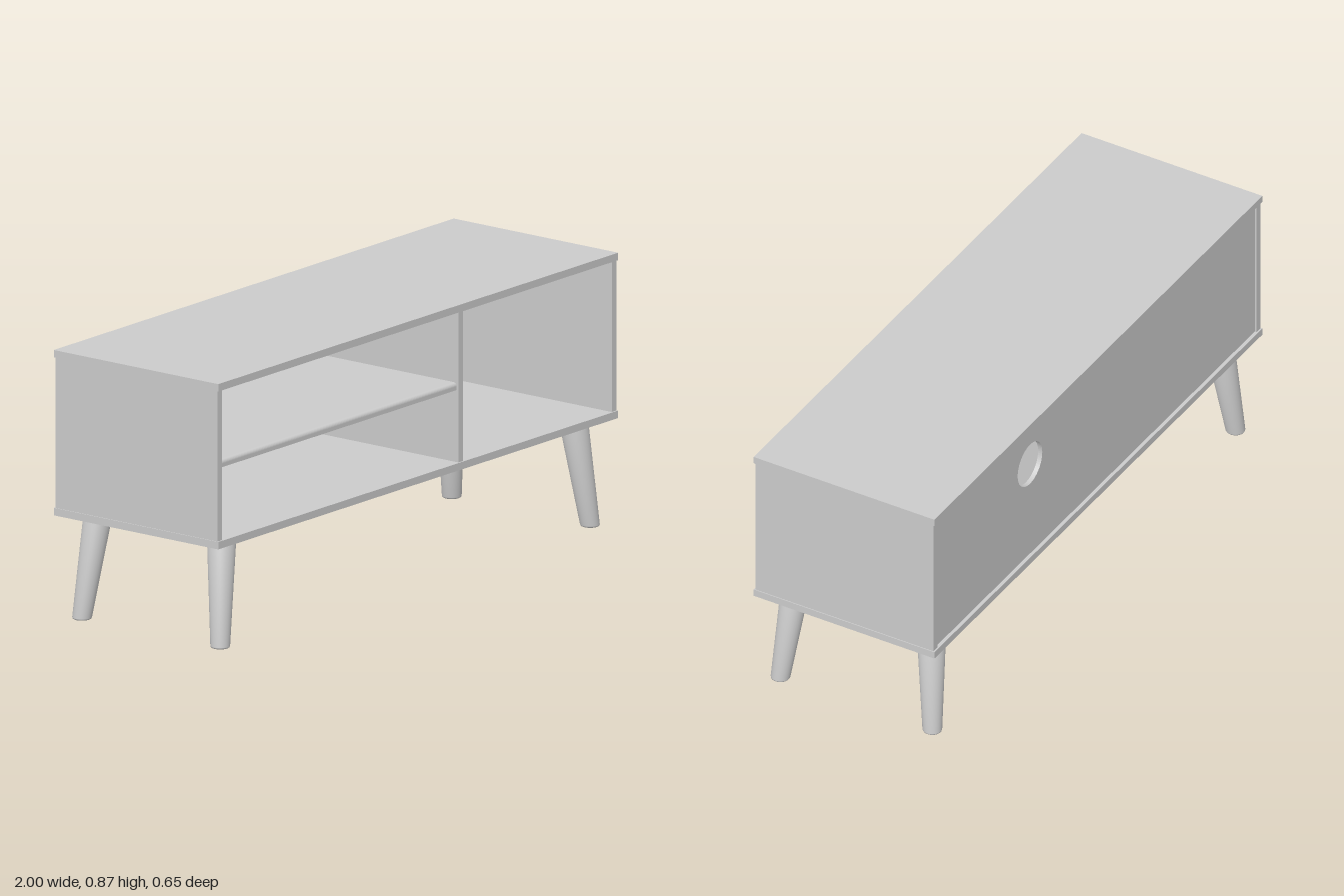
import * as THREE from 'three';

const grey = new THREE.MeshStandardMaterial({ color: 0xcccccc });

export function createModel() {
  const group = new THREE.Group();

  const add = (name, geometry) => {
    const mesh = new THREE.Mesh(geometry, grey);
    mesh.name = name;
    group.add(mesh);
    return mesh;
  };

  // Panel given by its lower and upper corner
  const panel = (name, [x0, y0, z0], [x1, y1, z1]) =>
    add(name, new THREE.BoxGeometry(x1 - x0, y1 - y0, z1 - z0))
      .position.set((x0 + x1) / 2, (y0 + y1) / 2, (z0 + z1) / 2);

  // Carcass
  const floorY = 0.364, ceilY = 0.849, sideX = 0.974;
  panel('topPanel', [-1, ceilY, -0.327], [1, 0.873, 0.327]);
  panel('bottomPanel', [-1, 0.34, -0.327], [1, floorY, 0.327]);
  panel('rightSide', [-0.997, floorY, -0.322], [-sideX, ceilY, 0.322]);
  panel('leftSide', [sideX, floorY, -0.322], [0.997, ceilY, 0.322]);
  panel('divider', [0.207, floorY, -0.3], [0.23, ceilY, 0.322]);

  // Back panel with a round cable hole
  const back = new THREE.Shape();
  back.moveTo(-sideX, floorY);
  back.lineTo(sideX, floorY);
  back.lineTo(sideX, ceilY);
  back.lineTo(-sideX, ceilY);
  back.closePath();
  back.holes.push(new THREE.Path().absarc(0.397, 0.707, 0.075, 0, Math.PI * 2, true));
  add('backPanel', new THREE.ExtrudeGeometry(back, { depth: 0.015, bevelEnabled: false, curveSegments: 32 }))
    .position.z = -0.315;

  // Shelf: side profile (depth, height) with an eased upper front edge
  const front = 0.315, low = 0.596, high = 0.62, r = 0.012;
  const profile = new THREE.Shape();
  profile.moveTo(-0.3, low);
  profile.lineTo(front, low);
  profile.lineTo(front, high - r);
  profile.absarc(front - r, high - r, r, 0, Math.PI / 2, false);
  profile.lineTo(-0.3, high);
  profile.closePath();
  const shelf = add('shelf', new THREE.ExtrudeGeometry(profile, {
    depth: 0.207 + sideX, bevelEnabled: false, curveSegments: 6,
  }));
  shelf.rotation.y = -Math.PI / 2; // profile depth runs along +z, extrusion along -x
  shelf.position.x = 0.207;

  // Tapered legs, sheared outwards so both ends stay level
  const legHeight = 0.34;
  const legProfile = [[0, 0], [0.026, 0], [0.0295, 0.002], [0.031, 0.006], [0.046, legHeight], [0, legHeight]]
    .map(([x, y]) => new THREE.Vector2(x, y));
  for (const sx of [-1, 1]) {
    for (const sz of [-1, 1]) {
      const leg = new THREE.LatheGeometry(legProfile, 32);
      const shear = new THREE.Matrix4().set(
        1, -sx * 0.045 / legHeight, 0, sx * 0.925,
        0, 1, 0, 0,
        0, -sz * 0.03 / legHeight, 1, sz * 0.275,
        0, 0, 0, 1,
      );
      leg.applyMatrix4(shear);
      add(`${sz > 0 ? 'front' : 'back'}${sx > 0 ? 'Left' : 'Right'}Leg`, leg);
    }
  }

  return group;
}
